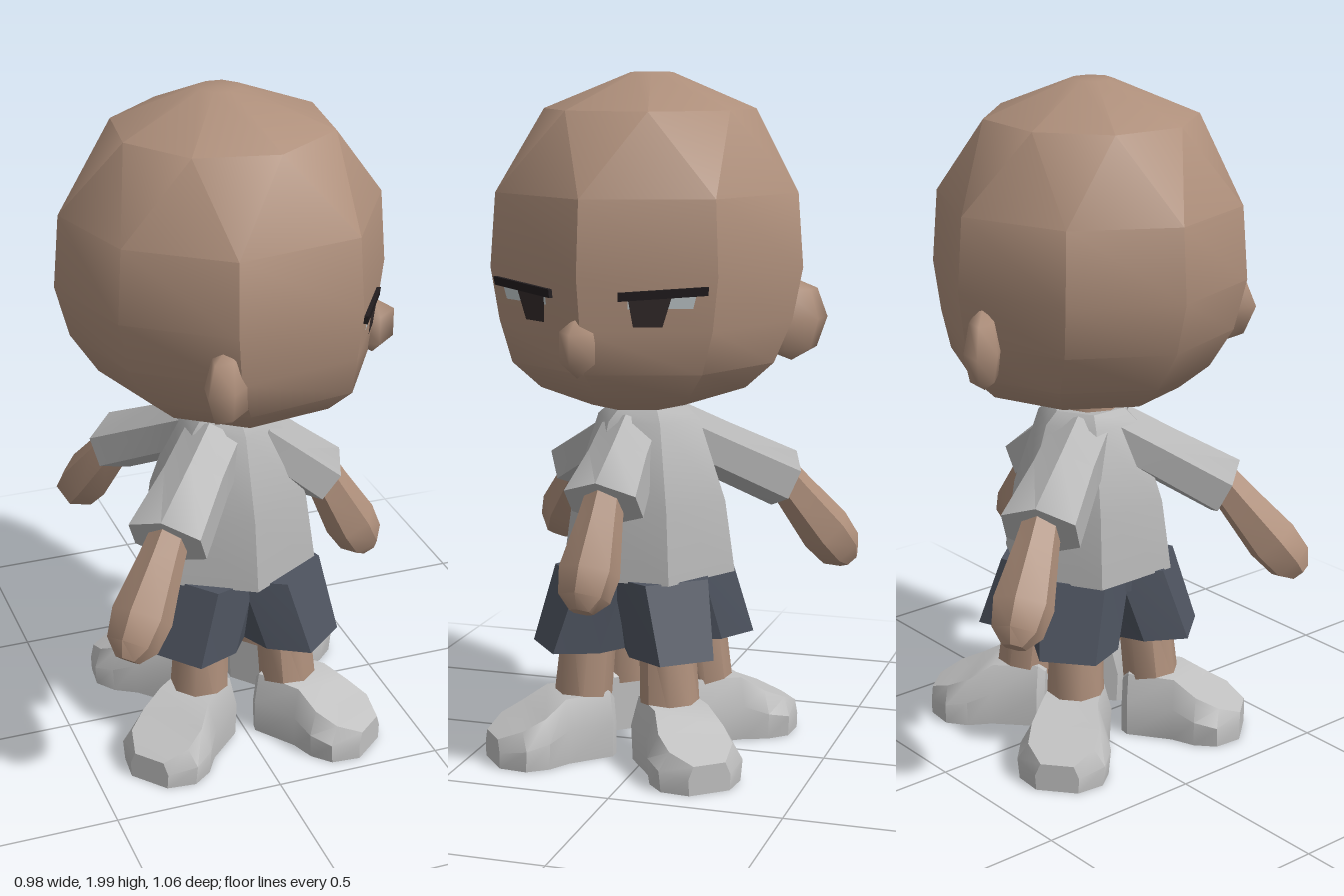
import * as THREE from 'three';
import { toCreasedNormals } from 'three/addons/utils/BufferGeometryUtils.js';

const V = (x, y, z) => new THREE.Vector3(x, y, z);

// Skin through equal-sized rings of points, closed at both ends, facing outwards
function loft(rings, crease = 0.8) {
  const n = rings[0].length, pts = rings.flat(), idx = [];
  const mid = (r) => r.reduce((a, p) => a.add(p), V(0, 0, 0)).divideScalar(n);
  pts.push(mid(rings[0]), mid(rings[rings.length - 1]));
  const last = (rings.length - 1) * n;
  for (let j = 0; j < n; j++) {
    const k = (j + 1) % n;
    for (let i = 0; i < last; i += n) idx.push(i + j, i + k, i + n + j, i + k, i + n + k, i + n + j);
    idx.push(pts.length - 2, k, j, pts.length - 1, last + j, last + k);
  }
  let volume = 0;
  for (let i = 0; i < idx.length; i += 3) {
    volume += pts[idx[i]].dot(pts[idx[i + 1]].clone().cross(pts[idx[i + 2]]));
  }
  if (volume < 0) idx.reverse();
  const g = new THREE.BufferGeometry().setFromPoints(pts);
  g.setIndex(idx);
  return toCreasedNormals(g, crease);
}

// Tapered limb from a to b; stations are [t, half width, half height]
function limb(a, b, stations, sides) {
  const dir = b.clone().sub(a).normalize();
  const side = V(0, 1, 0).cross(dir).normalize();
  const up = dir.clone().cross(side);
  return loft(stations.map(([t, w, h]) => Array.from({ length: sides }, (_, j) => {
    const q = (j + 0.5) / sides * Math.PI * 2;
    return a.clone().lerp(b, t).addScaledVector(side, w * Math.cos(q)).addScaledVector(up, h * Math.sin(q));
  })));
}

// Head outline seen from above, starting at the ridge between the eyes
const OUTLINE = [[0.455, 0.1], [0.335, -0.265], [0, -0.42], [-0.32, -0.3],
  [-0.49, -0.02], [-0.4, 0.29], [-0.13, 0.49], [0.25, 0.43]];
// Middles of its edges, for the staggered facets of the crown
const HALFWAY = OUTLINE.map(([x, z], i) => {
  const [u, v] = OUTLINE[(i + 1) % OUTLINE.length];
  return [(x + u) / 2, (z + v) / 2];
});
// Head levels: height, scale of the outline, shift in x, outline
const LEVELS = [[1.055, 0.3, 0.1, OUTLINE], [1.105, 0.66, 0.045, OUTLINE], [1.18, 0.84, 0.04, OUTLINE],
  [1.3, 0.94, 0.01, OUTLINE], [1.45, 1, 0, OUTLINE], [1.66, 0.965, 0, OUTLINE],
  [1.89, 0.72, 0, HALFWAY], [1.993, 0.14, -0.02, HALFWAY]];
const headPoint = ([x, z], y, s, dx) => V(x * s + dx, y, 0.035 + (z - 0.035) * s);

export function createModel() {
  const model = new THREE.Group();
  const mat = (name, color, side = THREE.FrontSide) => {
    const m = new THREE.MeshStandardMaterial({ color, side });
    m.name = name;
    return m;
  };
  const skin = mat('skin', 0xae8f7b), shirt = mat('shirt grey', 0xb4b4b4);
  const shorts = mat('shorts slate', 0x4e5460), shoe = mat('shoe grey', 0xc0c0c0);
  const white = mat('eye white', 0xc2cacd, THREE.DoubleSide);
  const dark = mat('pupil dark', 0x332a2a, THREE.DoubleSide);
  const black = mat('brow black', 0x221d1f);
  const add = (name, geo, material) => {
    const m = new THREE.Mesh(geo, material);
    m.name = name;
    model.add(m);
    return m;
  };

  // Head and neck
  add('head', loft(LEVELS.map(([y, s, dx, line]) => line.map((p) => headPoint(p, y, s, dx))), 0.65), skin);
  add('neck', new THREE.CylinderGeometry(0.09, 0.1, 0.14, 8), skin).position.set(0, 1.04, 0.05);

  // Nose and ears
  const nose = add('nose', new THREE.SphereGeometry(1, 4, 3), skin);
  nose.scale.set(0.075, 0.085, 0.06);
  nose.position.set(0.422, 1.255, 0.11);
  for (const [name, x, z, turn] of [['rightEar', -0.13, 0.425, 0.7], ['leftEar', -0.055, -0.375, -0.8]]) {
    const ear = add(name, new THREE.SphereGeometry(1, 6, 4), skin);
    ear.scale.set(0.12, 0.12, 0.055);
    ear.position.set(x, 1.295, z);
    ear.rotation.y = turn;
  }

  // Eyes follow the two flat sides of the face; t runs outwards from the ridge
  for (const [side, corner] of [['left', OUTLINE[1]], ['right', OUTLINE[7]]]) {
    const ridge = OUTLINE[0];
    const out = V(0.98, 0, side === 'left' ? -0.32 : 0.62).normalize();
    const onFace = (t, y, lift) => {
      const p = [ridge[0] + (corner[0] - ridge[0]) * t, ridge[1] + (corner[1] - ridge[1]) * t];
      return headPoint(p, y, 0.94 + (y - 1.3) * 0.4, 0.01 - (y - 1.3) * 0.067).addScaledVector(out, lift);
    };
    const plate = (name, corners, lift, material) => {
      const g = new THREE.BufferGeometry().setFromPoints(corners.map(([t, y]) => onFace(t, y, lift)));
      g.setIndex(side === 'left' ? [0, 1, 2, 0, 2, 3] : [0, 2, 1, 0, 3, 2]);
      g.computeVertexNormals();
      add(side + name, g, material);
    };
    plate('EyeWhite', [[0.36, 1.365], [0.84, 1.365], [0.86, 1.41], [0.36, 1.4]], 0.005, white);
    plate('Pupil', [[0.4, 1.315], [0.62, 1.315], [0.68, 1.4], [0.36, 1.4]], 0.008, dark);
    // Slanted brow bar
    const bar = (t, y) => [[0, 0], [0, 0.024], [0.012, 0.024], [0.012, 0]].map(([l, h]) => onFace(t, y + h, l));
    add(side + 'Brow', loft([bar(0.29, 1.386), bar(0.94, 1.402)], 0.1), black);
  }

  // Six-sided shirt body
  const profile = [[0, 0.56], [0.25, 0.55], [0.265, 0.55], [0.235, 0.76], [0.155, 1], [0.115, 1.035], [0, 1.035]];
  const body = new THREE.LatheGeometry(profile.map(([r, y]) => new THREE.Vector2(r, y)), 6);
  add('shirtBody', toCreasedNormals(body, 0.6), shirt).position.set(0, 0, 0.04);

  // Three arms: shoulder, sleeve end, finger tip
  const arms = [
    ['front', V(0.07, 0.955, 0.065), V(0.28, 0.79, 0.085), V(0.425, 0.52, 0.1)],
    ['right', V(-0.06, 0.955, 0.1), V(-0.285, 0.79, 0.335), V(-0.45, 0.535, 0.48)],
    ['left', V(-0.05, 0.955, -0.02), V(-0.225, 0.79, -0.315), V(-0.33, 0.535, -0.49)],
  ];
  for (const [side, shoulder, cuff, tip] of arms) {
    add(side + 'Sleeve', limb(shoulder, cuff, [[0, 0.1, 0.085], [0.4, 0.105, 0.085], [1, 0.128, 0.09]], 6), shirt);
    add(side + 'Arm', limb(cuff, tip,
      [[-0.15, 0.055, 0.055], [0.15, 0.066, 0.062], [0.65, 0.09, 0.08], [0.9, 0.076, 0.07], [1.03, 0.035, 0.035]], 6), skin);
  }

  // Shorts waist
  add('shortsWaist', new THREE.CylinderGeometry(0.2, 0.2, 0.06, 8), shorts).position.set(0, 0.53, 0.045);

  // Four legs set crosswise, each with shorts, leg and shoe
  const shoeStations = [[0.12, 0.075, 0.17], [0.14, 0.1, 0.195], [0.28, 0.11, 0.19],
    [0.35, 0.135, 0.145], [0.42, 0.13, 0.115], [0.48, 0.065, 0.085]];
  const shoeSection = [[-0.95, 0.01], [-1, 0.55], [-0.75, 1], [0.75, 1], [1, 0.55], [0.95, 0.01]];
  for (let i = 0; i < 4; i++) {
    const a = (50 + 90 * i) * Math.PI / 180;
    const at = (r, y, w = 0) => V(0.01 + r * Math.cos(a) - w * Math.sin(a), y, 0.05 + r * Math.sin(a) + w * Math.cos(a));
    const square = (r0, r1, w, y) => [at(r0, y, -w * 0.75), at(r0, y, w * 0.75), at((r0 + r1) / 2, y, w),
      at(r1, y, w * 0.65), at(r1, y, -w * 0.65), at((r0 + r1) / 2, y, -w)];
    add('shortsLeg' + (i + 1), loft([square(0.07, 0.32, 0.128, 0.335), square(0, 0.245, 0.15, 0.555)], 0.4), shorts);
    add('leg' + (i + 1), limb(at(0.17, 0.42), at(0.2, 0.14), [[0, 0.08, 0.08], [1, 0.088, 0.085]], 8), skin);
    add('shoe' + (i + 1), loft(shoeStations.map(([r, w, h]) => shoeSection.map(([u, v]) => at(r, v * h + 0.003, u * w))), 0.6), shoe);
  }
  return model;
}
